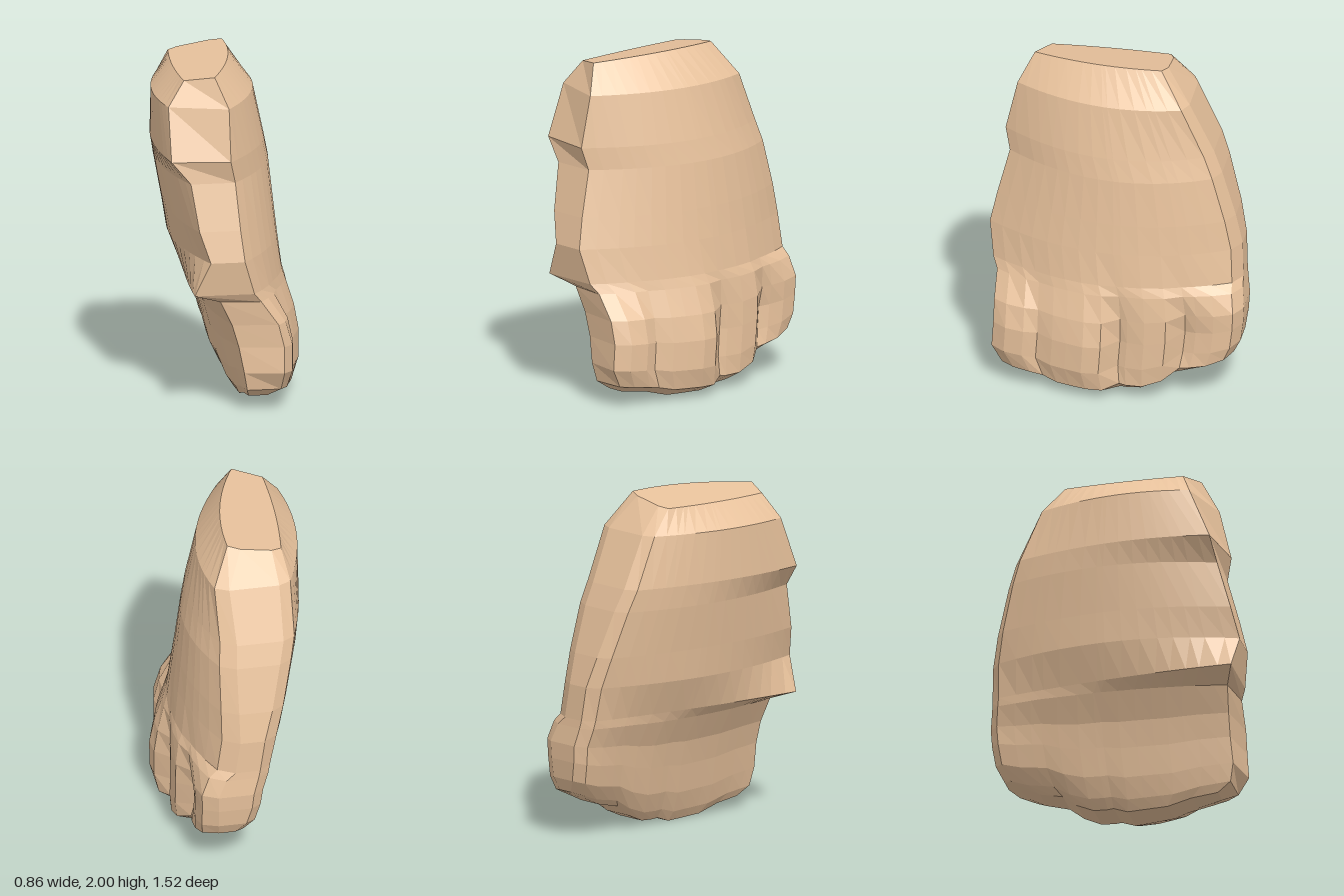
import * as THREE from 'three';

// Cross-sections from top to bottom:
// y, front z, back z, palm x (front, middle, rear), back-of-hand x (front, middle, rear),
// knuckle strength, setback of the palm-side front edge
const ROWS = [
  [1.99, 0.52, -0.28, -0.29, -0.30, -0.27, -0.12, 0.02, 0.04, 0, 0.07],
  [1.80, 0.61, -0.42, -0.39, -0.42, -0.29, -0.05, 0.17, 0.13, 0, 0.10],
  [1.50, 0.68, -0.56, -0.39, -0.42, -0.29, -0.05, 0.24, 0.11, 0, 0.05],
  [1.37, 0.65, -0.61, -0.28, -0.39, -0.26, -0.02, 0.27, 0.12, 0, 0],
  [1.10, 0.72, -0.69, -0.24, -0.34, -0.20, 0.00, 0.30, 0.12, 0, 0],
  [0.92, 0.76, -0.73, -0.18, -0.31, -0.15, 0.02, 0.32, 0.12, 0, 0],
  [0.72, 0.73, -0.74, -0.27, -0.23, -0.12, 0.06, 0.34, 0.14, 0.1, 0],
  [0.66, 0.70, -0.745, -0.11, -0.19, -0.11, 0.08, 0.35, 0.19, 0.25, 0.03],
  [0.50, 0.70, -0.76, -0.04, -0.11, -0.08, 0.15, 0.36, 0.26, 0.7, 0.04],
  [0.35, 0.70, -0.755, 0.00, -0.07, -0.07, 0.23, 0.40, 0.25, 1, 0.04],
  [0.18, 0.71, -0.74, 0.03, -0.03, -0.04, 0.26, 0.38, 0.25, 0.95, 0.04],
  [0.06, 0.65, -0.70, 0.05, 0.02, 0.02, 0.23, 0.35, 0.23, 0.6, 0],
  [0.00, 0.57, -0.62, 0.07, 0.06, 0.07, 0.18, 0.26, 0.20, 0, 0],
];

// Outline of the four knuckles: position from front (0) to rear (1), x
const KNUCKLES = [
  [0, 0.26], [0.055, 0.32], [0.13, 0.34], [0.185, 0.32], [0.25, 0.37], [0.31, 0.40],
  [0.38, 0.43], [0.45, 0.42], [0.52, 0.33], [0.55, 0.35], [0.62, 0.37], [0.705, 0.36],
  [0.775, 0.26], [0.82, 0.28], [0.89, 0.29], [0.965, 0.27], [1, 0.18],
];

// Height of the fingertips along the hand
const LIFT = [[0, 0.07], [0.13, 0.05], [0.25, 0.01], [0.45, 0], [0.52, 0.03], [0.6, 0.02], [0.7, 0.07], [0.775, 0.14], [0.89, 0.17], [1, 0.23]];
function lift(t) {
  const i = Math.max(1, LIFT.findIndex(p => p[0] >= t));
  const [a, b] = [LIFT[i - 1], LIFT[i]];
  return THREE.MathUtils.mapLinear(t, a[0], b[0], a[1], b[1]);
}

// Smooth curve through three values at t = 0, 0.5 and 1
const curve = (a, b, c, t) =>
  a * (1 - t) * (1 - 2 * t) + b * 4 * t * (1 - t) + c * t * (2 * t - 1);

function handGeometry() {
  const n = KNUCKLES.length, ring = 2 * n;
  const positions = [], index = [];

  ROWS.forEach(([y, zf, zb, i0, i1, i2, o0, o1, o2, strength, setback], r) => {
    const point = ([t, knuckle], outer) => {
      // the rear edge is bevelled on both sides
      const bevel = t === 1 ? 0.07 : 0;
      const x = outer
        ? THREE.MathUtils.lerp(curve(o0, o1, o2, t) - bevel, knuckle, strength)
        : curve(i0, i1, i2, t) + bevel * 0.8;
      let py = y;
      if (r === 0) py += 0.17 * x; // sloping wrist cut
      if (y < 0.7) py += lift(t) * (1 - y / 0.7); // slanted line of fingertips
      positions.push(x, py, THREE.MathUtils.lerp(outer ? zf : zf - setback, zb, t));
    };
    KNUCKLES.forEach(k => point(k, true));
    [...KNUCKLES].reverse().forEach(k => point(k, false));
  });

  const quad = (a, b, c, d) => index.push(a, b, c, a, c, d);
  // sides
  for (let r = 0; r < ROWS.length - 1; r++)
    for (let i = 0; i < ring; i++) {
      const j = (i + 1) % ring, a = r * ring, b = a + ring;
      quad(a + i, b + i, b + j, a + j);
    }
  // wrist end and fingertips
  const last = (ROWS.length - 1) * ring;
  for (let i = 0; i < n - 1; i++) {
    const k = ring - 1 - i;
    quad(i, i + 1, k - 1, k);
    quad(last + k, last + k - 1, last + i + 1, last + i);
  }

  const geometry = new THREE.BufferGeometry();
  geometry.setAttribute('position', new THREE.Float32BufferAttribute(positions, 3));
  geometry.setIndex(index);
  const faceted = geometry.toNonIndexed();
  faceted.computeVertexNormals();
  return faceted;
}

export function createModel() {
  const group = new THREE.Group();
  group.name = 'handModel';
  const skin = new THREE.MeshStandardMaterial({ color: 0xe8c29c, flatShading: true });
  const hand = new THREE.Mesh(handGeometry(), skin);
  hand.name = 'hand';
  group.add(hand);
  return group;
}
